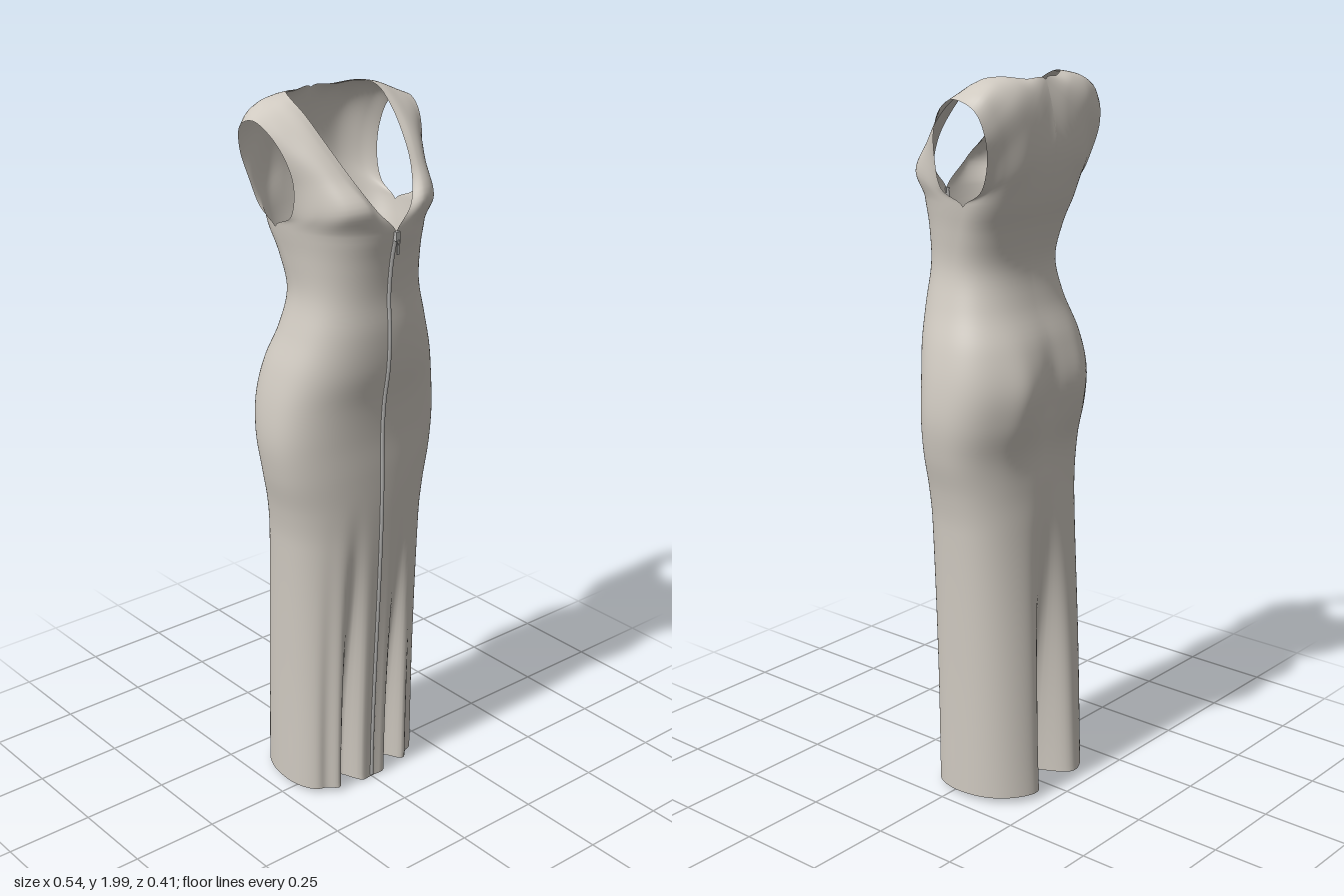
import * as THREE from 'three';
import { mergeVertices, mergeGeometries } from 'three/addons/utils/BufferGeometryUtils.js';

const NU = 40;        // columns per quarter turn
const TOP = 1.675;    // height of the underarm and the bottom of the neckline

// Body levels: height, half width, front z, back z, z of the side seam
const LEVELS = [
  [0.02, 0.21, 0.133, -0.225, -0.03],
  [0.4, 0.213, 0.136, -0.206, -0.03],
  [0.8, 0.224, 0.139, -0.174, -0.02],
  [0.9, 0.236, 0.14, -0.165, -0.015],
  [1.0, 0.257, 0.14, -0.163, -0.01],
  [1.1, 0.268, 0.139, -0.184, -0.01],
  [1.2, 0.26, 0.145, -0.196, -0.01],
  [1.3, 0.238, 0.161, -0.176, -0.005],
  [1.4, 0.205, 0.165, -0.135, 0.01],
  [1.5, 0.182, 0.16, -0.115, 0.01],
  [1.6, 0.19, 0.17, -0.135, -0.02],
  [1.675, 0.203, 0.186, -0.163, -0.05],
  [1.75, 0.21, 0.19, -0.185, -0.05],
];

// Bodice sections from front to back, each running from neckline to armhole
const STATIONS = [
  [[0.055, 1.735, 0.178], [0.092, 1.745, 0.188], [0.145, 1.74, 0.165], [0.185, 1.73, 0.1], [0.207, 1.715, 0.02]],
  [[0.1, 1.82, 0.125], [0.125, 1.82, 0.127], [0.155, 1.82, 0.115], [0.185, 1.815, 0.085], [0.212, 1.8, 0.038]],
  [[0.125, 1.9, 0.055], [0.15, 1.9, 0.056], [0.176, 1.895, 0.051], [0.203, 1.885, 0.04], [0.229, 1.87, 0.023]],
  [[0.137, 1.96, -0.01], [0.16, 1.958, -0.012], [0.19, 1.95, -0.015], [0.22, 1.94, -0.017], [0.247, 1.925, -0.015]],
  [[0.14, 1.99, -0.06], [0.165, 1.985, -0.065], [0.195, 1.975, -0.07], [0.225, 1.963, -0.07], [0.256, 1.95, -0.065]],
  [[0.12, 1.998, -0.105], [0.145, 1.992, -0.12], [0.18, 1.98, -0.133], [0.22, 1.955, -0.138], [0.25, 1.925, -0.13]],
  [[0.06, 1.99, -0.14], [0.1, 1.975, -0.16], [0.15, 1.94, -0.175], [0.2, 1.9, -0.166], [0.235, 1.86, -0.152]],
  [[0, 1.986, -0.155], [0.06, 1.93, -0.18], [0.12, 1.87, -0.187], [0.175, 1.82, -0.166], [0.215, 1.78, -0.14]],
  [[0, 1.83, -0.191], [0.06, 1.8, -0.189], [0.12, 1.77, -0.179], [0.17, 1.745, -0.15], [0.206, 1.715, -0.11]],
];

const bump = (x, centre, width) => Math.exp(-(((x - centre) / width) ** 2));

// Smooth interpolation of one column of the level table
function level(y, k) {
  const last = LEVELS.length - 2;
  let i = 0;
  while (i < last && y > LEVELS[i + 1][0]) i++;
  const slope = (n) => {
    const a = LEVELS[Math.max(n - 1, 0)], b = LEVELS[Math.min(n + 1, last + 1)];
    return (b[k] - a[k]) / (b[0] - a[0]);
  };
  const a = LEVELS[i], b = LEVELS[i + 1], h = b[0] - a[0], t = (y - a[0]) / h;
  return a[k] * (1 + 2 * t) * (1 - t) ** 2 + b[k] * t * t * (3 - 2 * t)
    + h * t * (1 - t) * (slope(i) * (1 - t) - slope(i + 1) * t);
}

// Point on the body: angle 0 is centre front, PI is centre back
function bodyPoint(y, angle) {
  const c = Math.cos(angle), zc = level(y, 4);
  const x = level(y, 1) * Math.pow(Math.max(Math.sin(angle), 0), 0.85);
  const reach = Math.pow(Math.abs(c), 0.85);
  const fold = 1 - THREE.MathUtils.smoothstep(y, 0.03, 0.95);
  const hips = bump(y, 1.16, 0.13);
  let z, drop = 0;
  if (c >= 0) {
    z = zc + (level(y, 2) - zc) * reach;
    z -= fold * (0.075 * bump(x, 0.08, 0.026) + 0.03 * bump(x, 0, 0.05) + 0.015 * bump(x, 0.15, 0.02));
    drop = -0.015 * bump(x, 0, 0.05);
  } else {
    z = zc + (level(y, 3) - zc) * reach;
    z += fold * 0.12 * bump(x, 0, 0.048) + hips * 0.012 * bump(x, 0, 0.04);
    z -= hips * 0.014 * bump(x, 0.12, 0.05);
    drop = 0.008 * reach;
  }
  return new THREE.Vector3(x, y + drop * Math.max(0, 1 - y / 0.12), z);
}

// Grid surface from a point function; mirrored grids reverse their winding
function grid(cols, rows, point, mirror) {
  const pos = [], idx = [];
  for (let j = 0; j <= rows; j++) {
    for (let i = 0; i <= cols; i++) {
      const p = point(i, j);
      pos.push(mirror ? -p.x : p.x, p.y, p.z);
      if (i < cols && j < rows) {
        const a = j * (cols + 1) + i, b = a + 1, d = a + cols + 1, c = d + 1;
        if (mirror) idx.push(a, c, b, a, d, c);
        else idx.push(a, b, c, a, c, d);
      }
    }
  }
  const g = new THREE.BufferGeometry();
  g.setAttribute('position', new THREE.Float32BufferAttribute(pos, 3));
  g.setIndex(idx);
  return g;
}

function dressGeometry() {
  // Bodice columns run up the front, over the shoulder and down the back
  const sections = STATIONS.map((s) => new THREE.CatmullRomCurve3(s.map((p) => new THREE.Vector3(...p))));
  const columns = [];
  for (let i = 0; i <= NU; i++) {
    const front = (i / NU) * Math.PI / 2, back = Math.PI - front;
    columns.push(new THREE.CatmullRomCurve3([
      bodyPoint(TOP - 0.06, front), bodyPoint(TOP, front),
      ...sections.map((s) => s.getPoint(i / NU)),
      bodyPoint(TOP, back), bodyPoint(TOP - 0.06, back),
    ]));
  }
  const spans = STATIONS.length + 3, bodiceRows = 60, bodyRows = 90;
  const bodice = (i, j) => columns[i].getPoint((1 + (j / bodiceRows) * (spans - 2)) / spans);
  const body = (i, j) => bodyPoint(0.02 + (TOP - 0.02) * j / bodyRows, (i / (2 * NU)) * Math.PI);
  const parts = [];
  for (const mirror of [false, true]) {
    parts.push(grid(2 * NU, bodyRows, body, mirror), grid(NU, bodiceRows, bodice, mirror));
  }
  const g = mergeVertices(mergeGeometries(parts), 1e-4);
  g.computeVertexNormals();
  return g;
}

export function createModel() {
  const fabric = new THREE.MeshStandardMaterial({ color: 0xd0cac1, side: THREE.DoubleSide });
  fabric.name = 'fabric';
  const metal = new THREE.MeshStandardMaterial({ color: 0xb4b3b1 });
  metal.name = 'zip metal';

  const model = new THREE.Group();
  model.name = 'dress';
  const add = (name, geometry, material, x = 0, y = 0, z = 0) => {
    const mesh = new THREE.Mesh(geometry, material);
    mesh.name = name;
    mesh.position.set(x, y, z);
    model.add(mesh);
    return mesh;
  };

  add('gown', dressGeometry(), fabric);

  // Zip running down the centre front
  const path = [];
  for (let k = 0; k <= 40; k++) {
    path.push(bodyPoint(0.025 + (TOP - 0.025) * k / 40, 0));
  }
  add('zip', new THREE.TubeGeometry(new THREE.CatmullRomCurve3(path), 120, 0.006, 6), metal);

  // Slider with its hanging pull
  const z = bodyPoint(1.66, 0).z;
  add('zipSlider', new THREE.BoxGeometry(0.014, 0.024, 0.012), metal, 0, 1.665, z + 0.005);
  add('zipRing', new THREE.TorusGeometry(0.005, 0.0015, 6, 12), metal, 0, 1.65, z + 0.012);
  add('zipPull', new THREE.BoxGeometry(0.008, 0.03, 0.003), metal, 0, 1.632, z + 0.01);

  return model;
}
